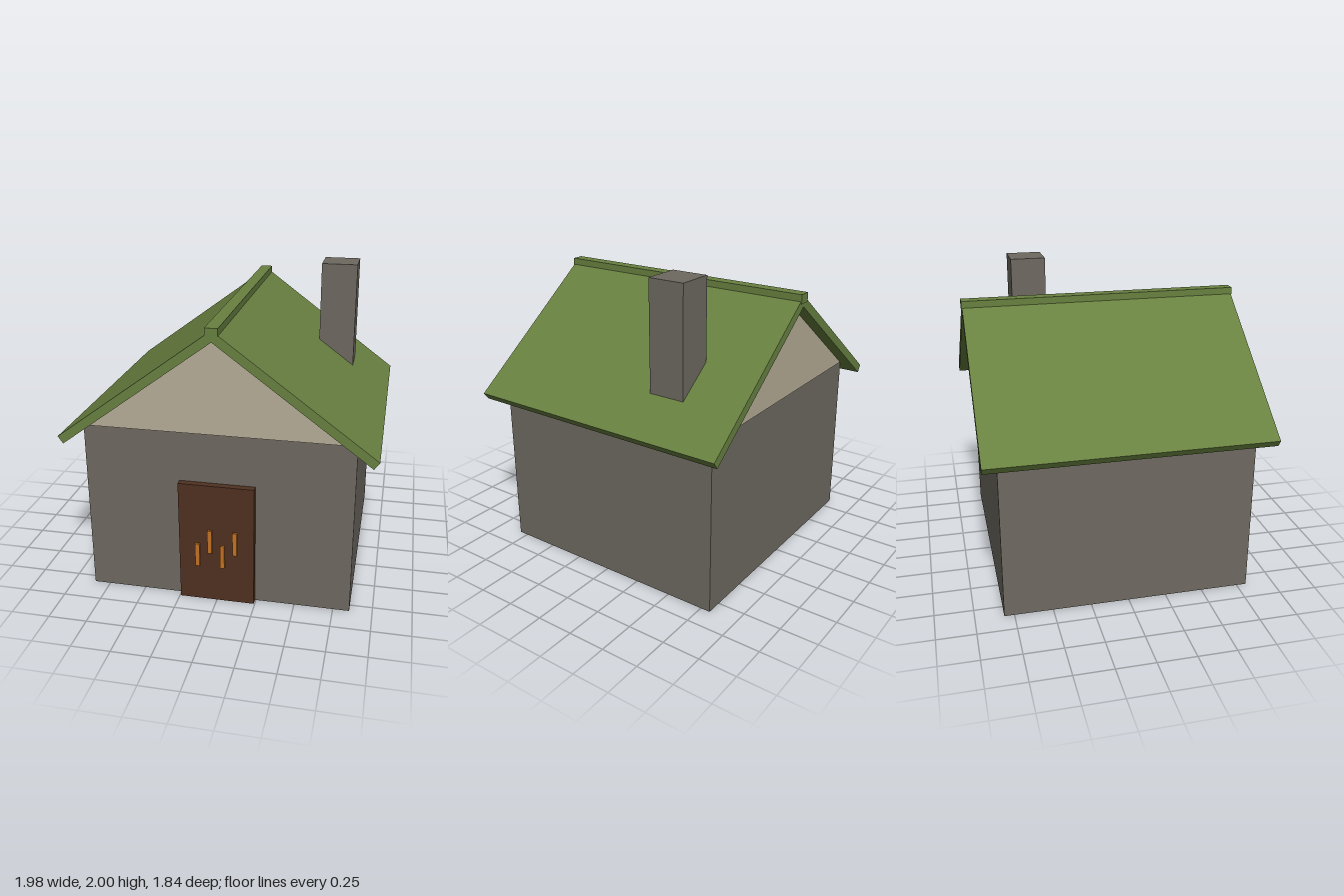
import * as THREE from 'three';

const material = (name, color) => {
  const m = new THREE.MeshStandardMaterial({ color });
  m.name = name;
  return m;
};

export function createModel() {
  const house = new THREE.Group();
  house.name = 'house';
  const stone = material('stone', 0x6e6961);
  const plaster = material('plaster', 0xb7ad97);
  const green = material('roofGreen', 0x688040);
  const wood = material('darkWood', 0x4f3121);
  const orange = material('orange', 0xc47222);

  const add = (name, geometry, mat) => {
    const mesh = new THREE.Mesh(geometry, mat);
    mesh.name = name;
    house.add(mesh);
    return mesh;
  };

  // Box given by its minimum and maximum corners
  const box = (name, [x0, y0, z0], [x1, y1, z1], mat) =>
    add(name, new THREE.BoxGeometry(x1 - x0, y1 - y0, z1 - z0), mat)
      .position.set((x0 + x1) / 2, (y0 + y1) / 2, (z0 + z1) / 2);

  // Outline in the front plane, extruded evenly about z = 0
  const prism = (name, points, halfDepth, mat) => {
    const shape = new THREE.Shape(points.map(([x, y]) => new THREE.Vector2(x, y)));
    const geometry = new THREE.ExtrudeGeometry(shape, { depth: 2 * halfDepth, bevelEnabled: false });
    add(name, geometry.translate(0, 0, -halfDepth), mat);
  };

  // Walls, with the gable block standing just proud of them
  box('walls', [-0.855, 0, -0.815], [0.855, 1.15, 0.815], stone);
  prism('gable', [[-0.85, 1.15], [0.85, 1.15], [0, 1.78]], 0.826, plaster);

  // Two sloping roof slabs with square-cut eaves
  for (const [side, s] of [['left', 1], ['right', -1]]) {
    prism(`${side}RoofSlab`, [[0, 1.76], [s * 0.956, 1.052], [s * 0.989, 1.098], [0, 1.83]], 0.915, green);
  }
  box('ridgeCap', [-0.04, 1.785, -0.92], [0.04, 1.845, 0.92], green);

  // Chimney rising through the left slope
  box('chimney', [0.49, 1.2, -0.53], [0.733, 2, -0.287], stone);

  // Door and its staggered upright bars
  box('door', [-0.243, 0, 0.8], [0.243, 0.82, 0.86], wood);
  for (let i = 0; i < 4; i++) {
    const x = -0.122 + i * 0.081;
    const y = i % 2 ? 0.35 : 0.25;
    box(`doorBar${i + 1}`, [x - 0.014, y, 0.855], [x + 0.014, y + 0.16, 0.875], orange);
  }

  return house;
}
